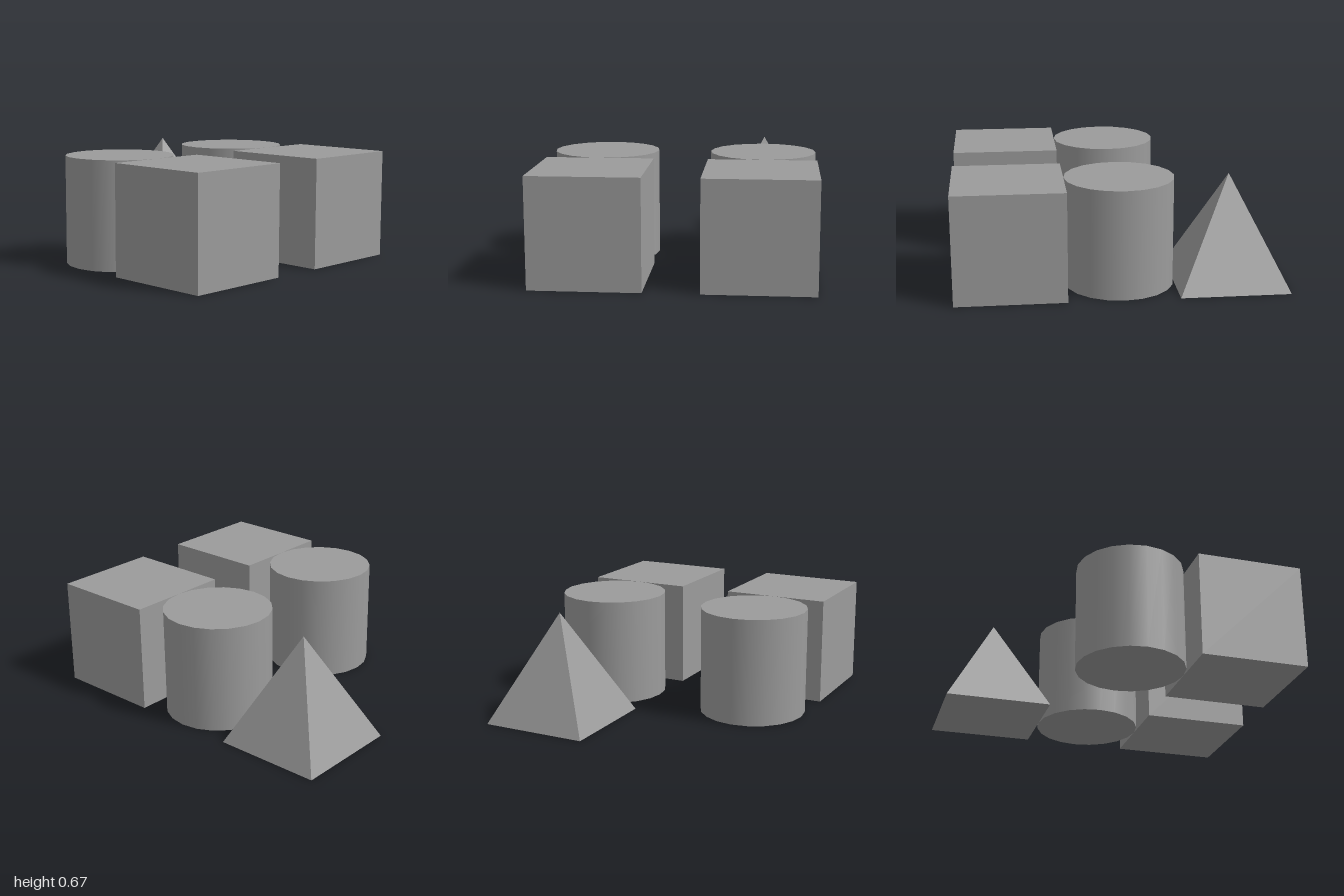
import * as THREE from 'three';

const SIZE = 2 / 3; // width, depth and height of every block
const R = SIZE / 2;
const COLUMN_X = 0.5;
const GREY = 0x9b9b9b;

export function createModel() {
  const model = new THREE.Group();
  model.name = 'buildingBlocks';

  const smooth = new THREE.MeshStandardMaterial({ color: GREY });
  const flat = new THREE.MeshStandardMaterial({ color: GREY, flatShading: true });

  // Places a block so that it stands on the ground
  function addBlock(name, geometry, material, x, z) {
    const mesh = new THREE.Mesh(geometry, material);
    mesh.name = name;
    mesh.position.set(x, R, z);
    model.add(mesh);
  }

  const cube = new THREE.BoxGeometry(SIZE, SIZE, SIZE);
  const cylinder = new THREE.CylinderGeometry(R, R, SIZE, 20);
  // Four-sided cone turned so its base edges follow the axes
  const pyramid = new THREE.ConeGeometry(R * Math.SQRT2, SIZE, 4, 1, false, Math.PI / 4);

  // Front row of cubes, middle row of cylinders
  for (const [side, x] of [['left', COLUMN_X], ['right', -COLUMN_X]]) {
    addBlock(`${side}Cube`, cube, flat, x, SIZE);
    addBlock(`${side}Cylinder`, cylinder, smooth, x, 0);
  }

  // Single pyramid at the back left
  addBlock('leftPyramid', pyramid, flat, COLUMN_X, -SIZE);

  return model;
}
